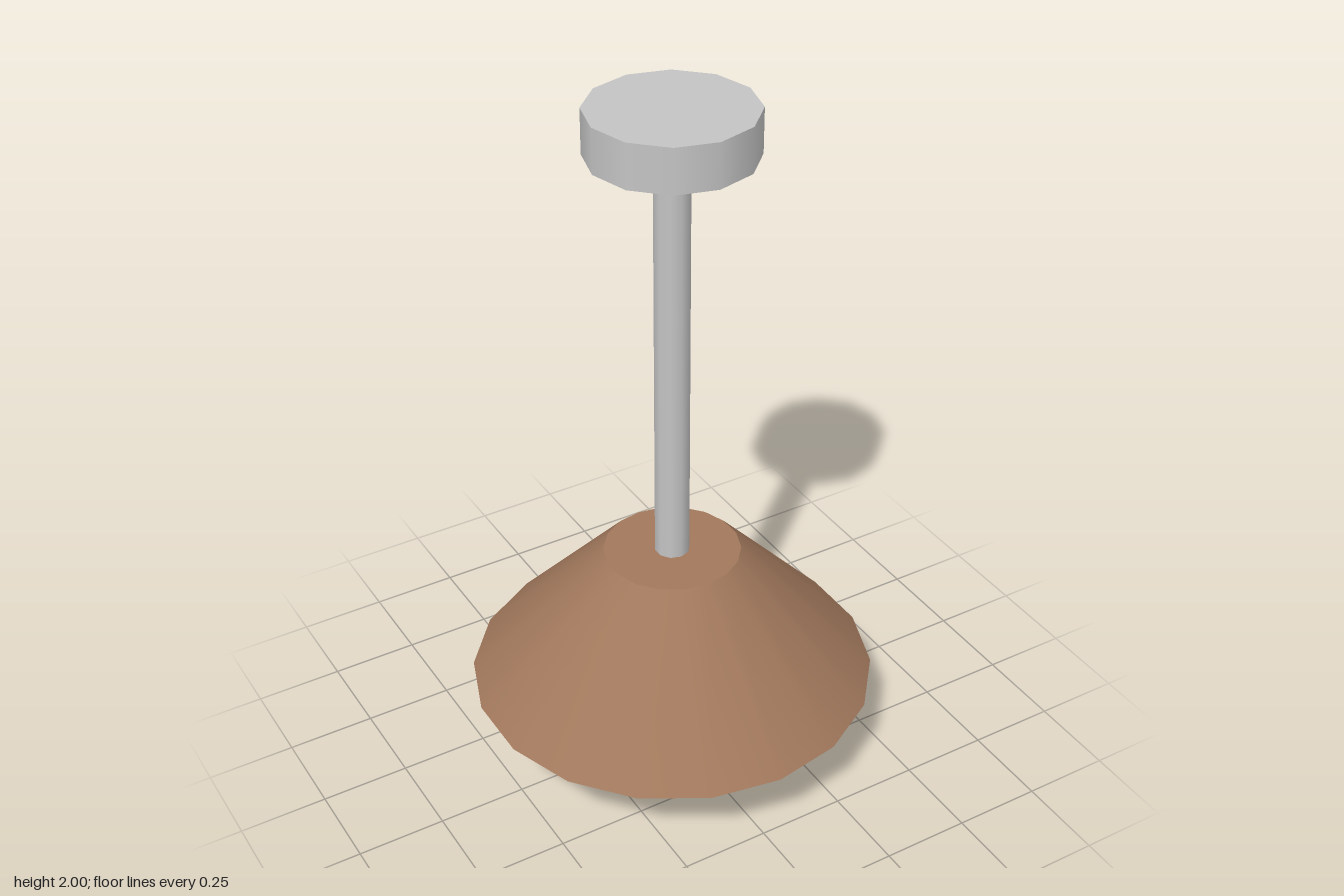
import * as THREE from 'three';

const colour = (name, hex) => {
  const material = new THREE.MeshStandardMaterial({ color: hex });
  material.name = name;
  return material;
};

export function createModel() {
  const lamp = new THREE.Group();
  lamp.name = 'pendantLamp';
  const metal = colour('brushed metal', 0xc4c4c4);
  const ringMetal = colour('ring steel', 0xb8b8c0);
  const brown = colour('brown shade', 0xa1785c);
  const cream = colour('cream glass', 0xe0d5b2);

  const add = (name, geometry, material, y) => {
    const mesh = new THREE.Mesh(geometry, material);
    mesh.name = name;
    mesh.position.y = y;
    lamp.add(mesh);
    return mesh;
  };

  // Closed cylinder or cone between two heights
  const drum = (name, topR, bottomR, y0, y1, sides, material) =>
    add(name, new THREE.CylinderGeometry(topR, bottomR, y1 - y0, sides), material, (y0 + y1) / 2);

  // Ceiling mount, stem and shade
  drum('ceilingMount', 0.224, 0.224, 1.876, 2, 12, metal);
  drum('stem', 0.049, 0.049, 0.6, 1.89, 10, metal);
  drum('shade', 0.192, 0.573, 0.262, 0.673, 18, brown);

  // Bulb half sunk into the shade
  add('bulb', new THREE.SphereGeometry(0.158, 16, 12), cream, 0.237);

  // Flat guard rings hanging below the shade
  const ring = (name, radius, y, sides) => {
    const geometry = new THREE.TorusGeometry(radius, 0.018, 8, sides).rotateX(Math.PI / 2);
    add(name, geometry, ringMetal, y);
  };
  ring('upperGuardRing', 0.272, 0.149, 14);
  ring('lowerGuardRing', 0.193, 0.018, 12);

  return lamp;
}
